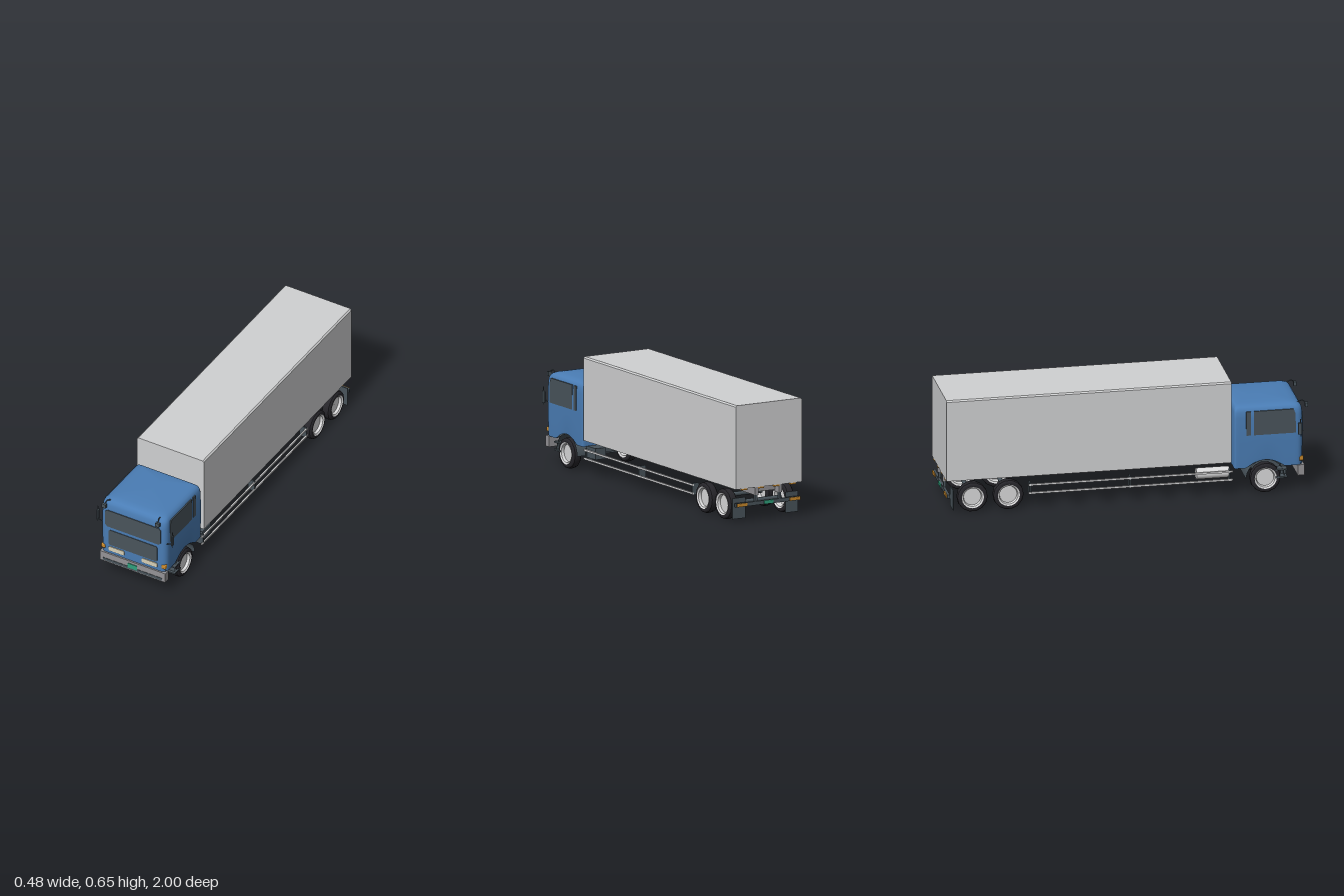
import * as THREE from 'three';
import { toCreasedNormals } from 'three/addons/utils/BufferGeometryUtils.js';
import { RoundedBoxGeometry } from 'three/addons/geometries/RoundedBoxGeometry.js';

const mat = (name, color, side = THREE.FrontSide) => {
  const m = new THREE.MeshStandardMaterial({ color, side });
  m.name = name;
  return m;
};

// Rectangle with cut corners
function cutRect(x0, x1, y0, y1, c) {
  return new THREE.Shape([[x0 + c, y0], [x1 - c, y0], [x1, y0 + c], [x1, y1 - c],
    [x1 - c, y1], [x0 + c, y1], [x0, y1 - c], [x0, y0 + c]].map(p => new THREE.Vector2(...p)));
}
const extrude = (shape, depth) => new THREE.ExtrudeGeometry(shape, { depth, bevelEnabled: false });

// Cab shell: rounded outlines stacked upwards, with wheel arches cut in the lower edge
function cabGeometry() {
  const outline = inset => {
    const hx = 0.206 - inset, zf = 0.969 - inset, zb = 0.588 + inset * 0.45;
    const rf = Math.min(0.032, hx), rb = Math.min(0.012, hx), half = [];
    for (let i = 0; i <= 5; i++) {
      const a = i / 5 * Math.PI / 2;
      half.push([hx - rf + rf * Math.sin(a), zf - rf + rf * Math.cos(a)]);
    }
    for (let i = 1; i < 20; i++) half.push([hx, THREE.MathUtils.lerp(zf - rf, zb + rb, i / 20)]);
    for (let i = 0; i <= 4; i++) {
      const a = (1 + i / 4) * Math.PI / 2;
      half.push([hx - rb + rb * Math.sin(a), zb + rb + rb * Math.cos(a)]);
    }
    return [...half, ...half.map(([x, z]) => [-x, z]).reverse()];
  };
  const levels = [[0.15, 0.003], [0.205, 0.001], [0.33, 0], [0.44, 0.001], [0.47, 0.004], [0.485, 0.009],
    [0.495, 0.018], [0.502, 0.033], [0.506, 0.06], [0.509, 0.12], [0.511, 0.185]];
  const pos = [], index = [];
  let n = 0;
  levels.forEach(([y, inset], k) => {
    const ring = outline(inset);
    n = ring.length;
    for (const [x, z] of ring) {
      const arch = 0.15 + 0.042 * (1 - ((z - 0.76) / 0.105) ** 2);
      pos.push(x, k === 0 ? Math.max(y, arch) : y, z);
    }
  });
  const top = levels.length - 1;
  for (let k = 0; k < top; k++) for (let i = 0; i < n; i++) {
    const j = (i + 1) % n, a = k * n + i, b = k * n + j;
    index.push(a, b, b + n, a, b + n, a + n);
  }
  pos.push(0, 0.511, 0.72);
  for (let i = 0; i < n; i++) index.push(top * n + i, top * n + (i + 1) % n, (top + 1) * n);
  const g = new THREE.BufferGeometry();
  g.setAttribute('position', new THREE.Float32BufferAttribute(pos, 3));
  g.setIndex(index);
  return toCreasedNormals(g, 0.7);
}

// Lathe turned so that its axis runs along x
function wheelLathe(points, sides) {
  const g = new THREE.LatheGeometry(points.map(p => new THREE.Vector2(...p)), sides);
  return toCreasedNormals(g.rotateZ(-Math.PI / 2), 0.6);
}

export function createModel() {
  const blue = mat('cabBlue', 0x4a7db5, THREE.DoubleSide);
  const body = mat('cargoGrey', 0xd0d1d2);
  const grey = mat('frameGrey', 0x949396);
  const dark = mat('darkGrey', 0x49545b, THREE.DoubleSide);
  const rubber = mat('tyreBlack', 0x26252a, THREE.DoubleSide);
  const metal = mat('rimGrey', 0xd9d9da, THREE.DoubleSide);
  const cream = mat('lampCream', 0xd6cfb6);
  const orange = mat('lampOrange', 0xcb8a2c);
  const green = mat('plateGreen', 0x30a07c);

  const model = new THREE.Group();
  model.name = 'boxTruck';
  const add = (name, geometry, material, x = 0, y = 0, z = 0) => {
    const m = new THREE.Mesh(geometry, material);
    m.name = name;
    m.position.set(x, y, z);
    model.add(m);
    return m;
  };
  // Box from its limits on each axis
  const box = (name, material, x0, x1, y0, y1, z0, z1) => add(name,
    new THREE.BoxGeometry(Math.abs(x1 - x0), y1 - y0, z1 - z0), material,
    (x0 + x1) / 2, (y0 + y1) / 2, (z0 + z1) / 2);
  const tube = (name, material, radius, pts) => add(name, new THREE.TubeGeometry(
    new THREE.CatmullRomCurve3(pts.map(p => new THREE.Vector3(...p))), 10, radius, 6), material);

  // Cargo body with cut upper edges
  const section = new THREE.Shape([[-0.21, 0.19], [0.21, 0.19], [0.21, 0.645], [0.202, 0.653],
    [-0.202, 0.653], [-0.21, 0.645]].map(p => new THREE.Vector2(...p)));
  add('cargoBody', extrude(section, 1.57), body, 0, 0, -0.998);

  // Cab, floor and wheel housing
  add('cab', cabGeometry(), blue);
  box('cabFloorFront', dark, -0.198, 0.198, 0.152, 0.16, 0.865, 0.955);
  box('cabFloorRear', blue, -0.198, 0.198, 0.152, 0.16, 0.592, 0.655);
  const housing = new THREE.CylinderGeometry(0.106, 0.106, 0.402, 20, 1, true, 0, Math.PI);
  add('wheelHousing', housing.rotateZ(Math.PI / 2), dark, 0, 0.085, 0.76);
  box('engine', dark, -0.07, 0.07, 0.1, 0.19, 0.62, 0.9);

  // Front panels
  add('windscreen', extrude(cutRect(-0.175, 0.175, 0.33, 0.44, 0.013), 0.007), dark, 0, 0, 0.965);
  add('grille', extrude(cutRect(-0.153, 0.153, 0.21, 0.31, 0.008), 0.007), dark, 0, 0, 0.965);
  box('bumper', grey, -0.205, 0.205, 0.09, 0.15, 0.938, 0.975);
  box('bumperSlot', dark, -0.185, 0.185, 0.097, 0.113, 0.97, 0.977);
  box('frontPlate', green, -0.029, 0.029, 0.106, 0.135, 0.972, 0.979);

  // Side windows
  const windowShape = new THREE.Shape([[-0.928, 0.338], [-0.697, 0.338], [-0.697, 0.475], [-0.915, 0.475],
    [-0.925, 0.45]].map(p => new THREE.Vector2(...p)));
  const quarterShape = cutRect(-0.68, -0.654, 0.338, 0.475, 0.002);

  // Wheel profiles
  const tyre = wheelLathe([[0.056, -0.024], [0.066, -0.027], [0.076, -0.025], [0.083, -0.018], [0.085, 0],
    [0.083, 0.018], [0.076, 0.025], [0.066, 0.027], [0.056, 0.024], [0.056, -0.024]], 14);
  const rim = wheelLathe([[0.001, 0.008], [0.048, 0.008], [0.052, 0.023], [0.061, 0.0275], [0.061, 0.02],
    [0.056, -0.02], [0.061, -0.0275], [0.052, -0.023], [0.048, 0.004], [0.001, 0.004]], 20);

  for (const s of [1, -1]) {
    const side = s > 0 ? 'left' : 'right';
    const part = name => side + name;

    for (const [name, shape] of [['DoorWindow', windowShape], ['QuarterWindow', quarterShape]])
      add(part(name), extrude(shape, 0.007).rotateY(Math.PI / 2), dark, s > 0 ? 0.201 : -0.208);

    // Lamps
    add(part('Headlight'), extrude(cutRect(-0.049, 0.049, 0.17, 0.198, 0.006), 0.007), cream, s * 0.104, 0, 0.965);
    add(part('Indicator'), new RoundedBoxGeometry(0.026, 0.026, 0.026, 2, 0.006), orange, s * 0.189, 0.185, 0.958);

    // Mirror on its bracket
    add(part('Mirror'), new RoundedBoxGeometry(0.01, 0.068, 0.022, 2, 0.004), dark, s * 0.234, 0.369, 0.945);
    tube(part('MirrorPole'), dark, 0.0025, [[s * 0.234, 0.325, 0.95], [s * 0.234, 0.37, 0.947], [s * 0.234, 0.424, 0.947]]);
    tube(part('MirrorArm'), dark, 0.003, [[s * 0.2, 0.335, 0.95], [s * 0.222, 0.354, 0.962], [s * 0.234, 0.345, 0.948]]);

    // Roof camera on a short arm
    box(part('RoofCamera'), dark, s * 0.156, s * 0.18, 0.471, 0.495, 0.985, 1);
    tube(part('RoofCameraArm'), dark, 0.003, [[s * 0.155, 0.496, 0.945], [s * 0.162, 0.506, 0.97], [s * 0.168, 0.49, 0.992]]);

    // Steps ahead of the front wheel
    for (const y of [0.087, 0.13]) box(part('Step'), dark, s * 0.155, s * 0.209, y - 0.004, y + 0.004, 0.815, 0.88);
    box(part('StepBracket'), dark, s * 0.155, s * 0.163, 0.083, 0.155, 0.85, 0.88);

    // Main frame rail
    box(part('FrameRail'), grey, s * 0.065, s * 0.085, 0.146, 0.191, -0.995, 0.8);

    // Side guard bars and their hangers
    box(part('LowerGuardBar'), metal, s * 0.197, s * 0.205, 0.084, 0.094, -0.545, 0.58);
    box(part('UpperGuardBar'), metal, s * 0.197, s * 0.205, 0.131, 0.141, -0.545, 0.58);
    for (const z of [-0.535, 0.016, 0.565]) box(part('GuardHanger'), dark, s * 0.16, s * 0.203, 0.08, 0.146, z - 0.004, z + 0.004);

    // Wheels
    for (const [z, name] of [[0.761, 'FrontWheel'], [-0.654, 'MiddleWheel'], [-0.852, 'RearWheel']]) {
      add(part(name + 'Tyre'), tyre, rubber, s * 0.18, 0.086, z);
      add(part(name + 'Rim'), rim, metal, s * 0.18, 0.086, z).rotation.y = s > 0 ? 0 : Math.PI;
    }

    // Rear mud flap, lamps and bumper hanger
    box(part('MudFlap'), dark, s * 0.127, s * 0.209, 0.02, 0.135, -0.962, -0.957);
    box(part('BumperHanger'), dark, s * 0.068, s * 0.082, 0.09, 0.16, -0.99, -0.975);
    box(part('RearLamp'), orange, s * 0.135, s * 0.2, 0.092, 0.109, -0.999, -0.992);
    for (const x of [0.05, 0.155]) box(part('MarkerLamp'), orange, s * (x - 0.018), s * (x + 0.018), 0.182, 0.19, -0.998, -0.985);
  }

  // Axles and cross members
  for (const z of [0.761, -0.654, -0.852])
    add('axle', new THREE.CylinderGeometry(0.012, 0.012, 0.33, 10).rotateZ(Math.PI / 2), dark, 0, 0.086, z);
  for (const z of [-0.95, -0.75, 0.4]) box('crossMember', grey, -0.066, 0.066, 0.155, 0.188, z - 0.006, z + 0.006);

  // Rear bumper and plate
  box('rearBumper', dark, -0.205, 0.205, 0.09, 0.111, -0.993, -0.979);
  box('rearPlate', green, -0.029, 0.029, 0.091, 0.11, -0.999, -0.992);

  // Battery box on the left, air tank on the right
  box('batteryBox', dark, 0.13, 0.196, 0.098, 0.16, 0.472, 0.563);
  add('airTank', new THREE.CylinderGeometry(0.031, 0.031, 0.18, 20).rotateX(Math.PI / 2), metal, -0.16, 0.122, 0.475);

  return model;
}
